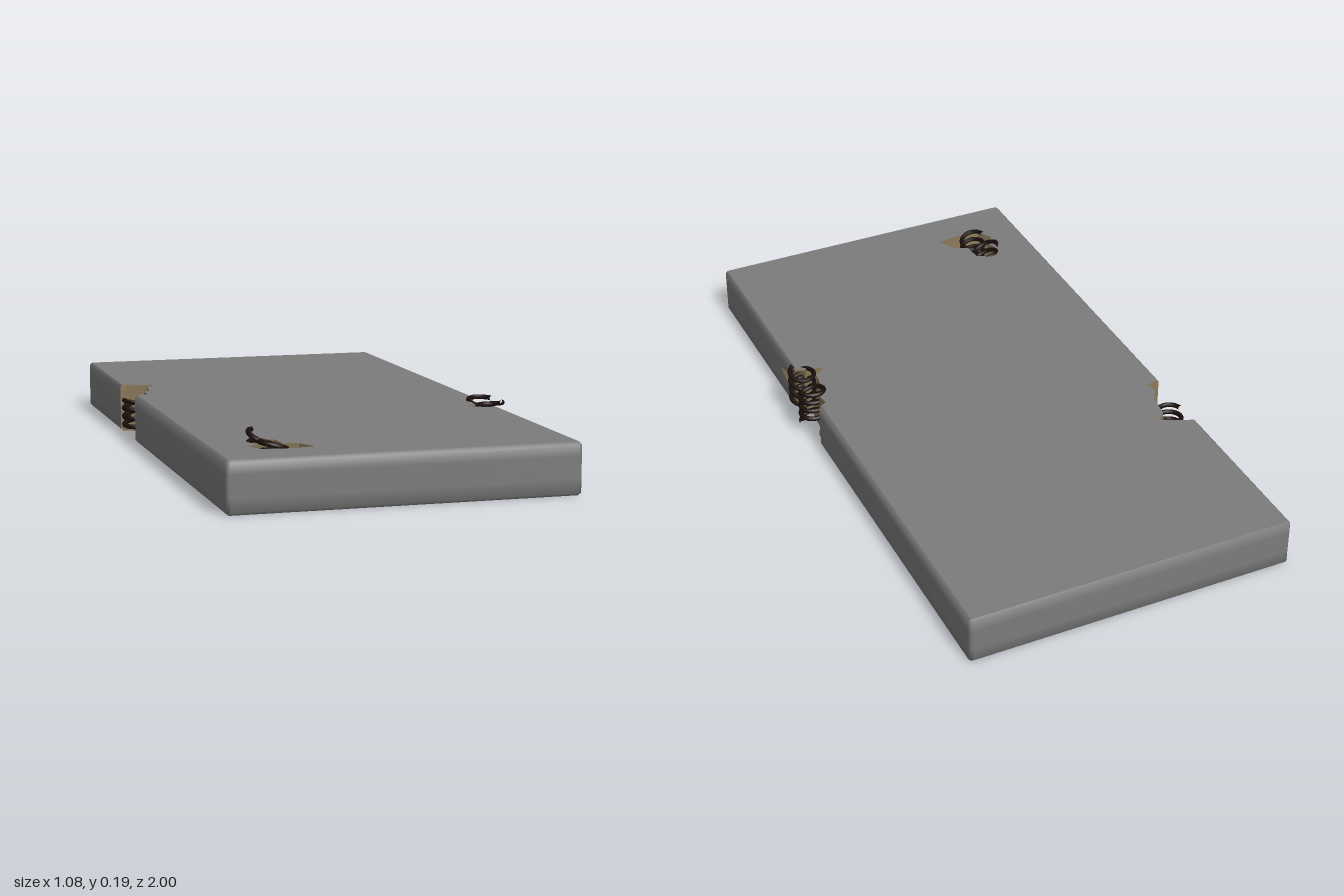
import * as THREE from 'three';
import { toCreasedNormals } from 'three/addons/utils/BufferGeometryUtils.js';

const X0 = -0.525, X1 = 0.505, Z = 1, CORNER = 0.012;

// Cross-section levels: height, rounded-edge inset, tear depth, tear lip reach
const levels = [
  { y: 0.002, inset: 0.008, depth: 0.72, lip: 0.03 },
  { y: 0.010, inset: 0, depth: 0.72, lip: 0.03 },
  { y: 0.050, inset: 0, depth: 0.85, lip: 0.02 },
  { y: 0.085, inset: 0, depth: 0.9, lip: 0.13 },
  { y: 0.115, inset: 0, depth: 0.95, lip: 0.08 },
  { y: 0.147, inset: 0, depth: 1, lip: 0 },
  { y: 0.155, inset: 0.008, depth: 1, lip: 0 },
];

// Torn notches as [depth from the edge, z]
const tearPlusX = [[0, 0.34], [0.035, 0.33], [0.09, 0.31], [0.055, 0.285], [0.05, 0.25],
  [0.045, 0.2], [0.02, 0.17], [0.025, 0.13], [0, 0.12]];
const tearMinusX = [[0, -0.435], [0.03, -0.43], [0.105, -0.395], [0.075, -0.365], [0.065, -0.29],
  [0.04, -0.25], [0.045, -0.21], [0, -0.2]];
// Hole torn through the top, as [x, z]
const tearHole = [[-0.415, 0.81], [-0.385, 0.785], [-0.4, 0.73], [-0.36, 0.695], [-0.315, 0.72],
  [-0.31, 0.78], [-0.265, 0.8], [-0.235, 0.855], [-0.3, 0.868], [-0.385, 0.86]];

// One closed outline, each point marked when it belongs to a tear
function outline({ inset, depth, lip }) {
  const pts = [];
  const corner = (sx, sz, start) => {
    const cx = sx > 0 ? X1 - CORNER : X0 + CORNER, r = CORNER - inset;
    for (let i = 0; i <= 3; i++) {
      const a = start + (i / 3) * Math.PI / 2;
      pts.push({ x: cx + r * Math.cos(a), z: sz * (Z - CORNER) - r * Math.sin(a) });
    }
  };
  const tear = (list, edge, dir, reach) => list.forEach(([d, z], i) => pts.push({
    x: edge + dir * Math.max(d * depth, inset), z: z + (i === 0 ? reach : 0), torn: true,
  }));
  corner(-1, 1, Math.PI);
  corner(1, 1, Math.PI * 1.5);
  tear(tearPlusX, X1, -1, lip);
  corner(1, -1, 0);
  corner(-1, -1, Math.PI / 2);
  tear(tearMinusX, X0, 1, 0);
  return pts;
}

// The hole narrows a little towards the bottom
function holeOutline({ depth }) {
  const s = 0.5 + depth * 0.5;
  return tearHole.map(([x, z]) => ({ x: -0.33 + (x + 0.33) * s, z: 0.79 + (z - 0.79) * s, torn: true }));
}

function geometryFrom(positions, crease) {
  const g = new THREE.BufferGeometry();
  g.setAttribute('position', new THREE.Float32BufferAttribute(positions, 3));
  return toCreasedNormals(g, crease);
}

// Walls between stacked outlines, sorted into cover and torn foam
function addWalls(rows, cover, foam) {
  for (let r = 0; r < rows.length - 1; r++) {
    const n = rows[r].length;
    for (let i = 0; i < n; i++) {
      const j = (i + 1) % n;
      const p = (row, k) => [rows[row][k].x, levels[row].y, rows[row][k].z];
      const a = p(r, i), b = p(r, j), c = p(r + 1, j), d = p(r + 1, i);
      const target = rows[r][i].torn && rows[r][j].torn ? foam : cover;
      target.push(...a, ...b, ...c, ...a, ...c, ...d);
    }
  }
}

// Flat top or bottom sheet with the hole cut out
function cap(pts, hole, y, up) {
  const s = up ? -1 : 1;
  const toV = p => new THREE.Vector2(p.x, s * p.z);
  const shape = new THREE.Shape(pts.map(toV));
  shape.holes.push(new THREE.Path(hole.map(toV)));
  return new THREE.ShapeGeometry(shape).rotateX(s * Math.PI / 2).translate(0, y, 0);
}

class Helix extends THREE.Curve {
  constructor(o) { super(); this.o = o; }
  getPoint(t, target = new THREE.Vector3()) {
    const { x, z, y0, y1, turns, r = 0.038, tiltX = 0, tiltZ = 0, phase = 0 } = this.o;
    const a = phase + t * turns * Math.PI * 2;
    const dx = r * Math.cos(a), dz = r * Math.sin(a);
    return target.set(x + dx, y0 + (y1 - y0) * t + dx * tiltX + dz * tiltZ, z + dz);
  }
}

export function createModel() {
  const model = new THREE.Group();
  const coverMat = new THREE.MeshStandardMaterial({ color: 0x7c7c7c });
  coverMat.name = 'greyCover';
  const foamMat = new THREE.MeshStandardMaterial({ color: 0x8a7759, side: THREE.DoubleSide });
  foamMat.name = 'tanFoam';
  const springMat = new THREE.MeshStandardMaterial({ color: 0x1a0e0b });
  springMat.name = 'rustySteel';

  const add = (name, geometry, material, parent = model) => {
    const mesh = new THREE.Mesh(geometry, material);
    mesh.name = name;
    parent.add(mesh);
  };

  // Mattress body
  const rows = levels.map(outline), holes = levels.map(holeOutline);
  const cover = [], foam = [];
  addWalls(rows, cover, foam);
  addWalls(holes, cover, foam);
  const last = levels.length - 1;
  add('sideCover', geometryFrom(cover, 0.9), coverMat);
  add('topCover', cap(rows[last], holes[last], levels[last].y, true), coverMat);
  add('bottomCover', cap(rows[0], holes[0], levels[0].y, false), coverMat);
  add('tornFoam', geometryFrom(foam, 0.6), foamMat);

  // Exposed coil springs
  const springs = new THREE.Group();
  springs.name = 'springs';
  model.add(springs);
  [
    { x: 0.495, z: 0.21, y0: 0.045, y1: 0.165, turns: 4, tiltX: -0.12, tiltZ: -0.1 },
    { x: 0.49, z: 0.308, y0: 0.045, y1: 0.17, turns: 4, tiltX: -0.12, tiltZ: 0.1, phase: 1 },
    { x: -0.497, z: -0.325, y0: 0.03, y1: 0.125, turns: 3.5, tiltX: 0.1 },
    { x: -0.482, z: -0.405, y0: 0.04, y1: 0.11, turns: 1.6, r: 0.03, phase: 2.5 },
    { x: -0.357, z: 0.738, y0: 0.06, y1: 0.175, turns: 3.5, tiltX: -0.3, tiltZ: -0.15, phase: 1 },
    { x: -0.347, z: 0.822, y0: 0.06, y1: 0.165, turns: 3.5, tiltX: -0.12, tiltZ: 0.12 },
    { x: -0.272, z: 0.835, y0: 0.05, y1: 0.13, turns: 1.5, r: 0.026, phase: 2 },
  ].forEach(o => add('coilSpring',
    new THREE.TubeGeometry(new Helix(o), Math.round(o.turns * 20), 0.0075, 8, false), springMat, springs));

  return model;
}
